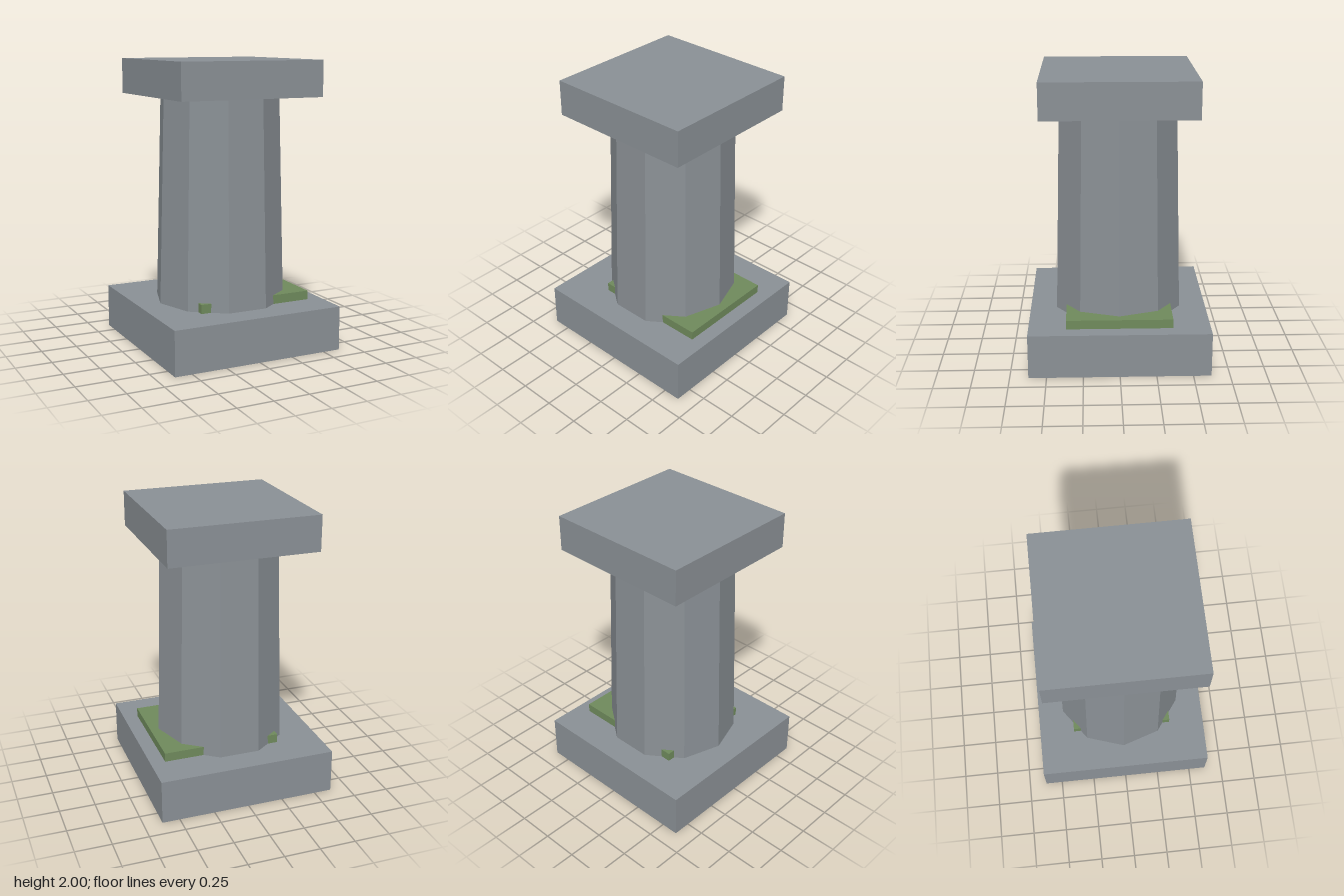
import * as THREE from 'three';

const stone = new THREE.MeshStandardMaterial({ name: 'grey stone', color: 0x8a9095 });
const moss = new THREE.MeshStandardMaterial({ name: 'green moss', color: 0x6f8a5c });

// Square-edged block standing on height y
function block(name, material, w, h, d, x, y) {
  const mesh = new THREE.Mesh(new THREE.BoxGeometry(w, h, d), material);
  mesh.name = name;
  mesh.position.set(x, y + h / 2, 0);
  return mesh;
}

export function createModel() {
  const group = new THREE.Group();
  group.name = 'stonePillar';

  // Plinth and capital
  group.add(block('base', stone, 1.246, 0.31, 1.246, 0, 0));
  group.add(block('capital', stone, 1.04, 0.248, 1.04, 0, 1.752));

  // Tapered ten-sided shaft, with a flat side to the front
  const geometry = new THREE.CylinderGeometry(0.42, 0.46, 1.442, 10).toNonIndexed();
  geometry.computeVertexNormals();
  const shaft = new THREE.Mesh(geometry, stone);
  shaft.name = 'shaft';
  shaft.rotation.y = Math.PI / 10;
  shaft.position.y = 0.31 + 1.442 / 2;
  group.add(shaft);

  // Moss slab around the foot of the shaft, offset to the left
  group.add(block('mossPatch', moss, 0.832, 0.063, 0.73, 0.104, 0.31));

  return group;
}
